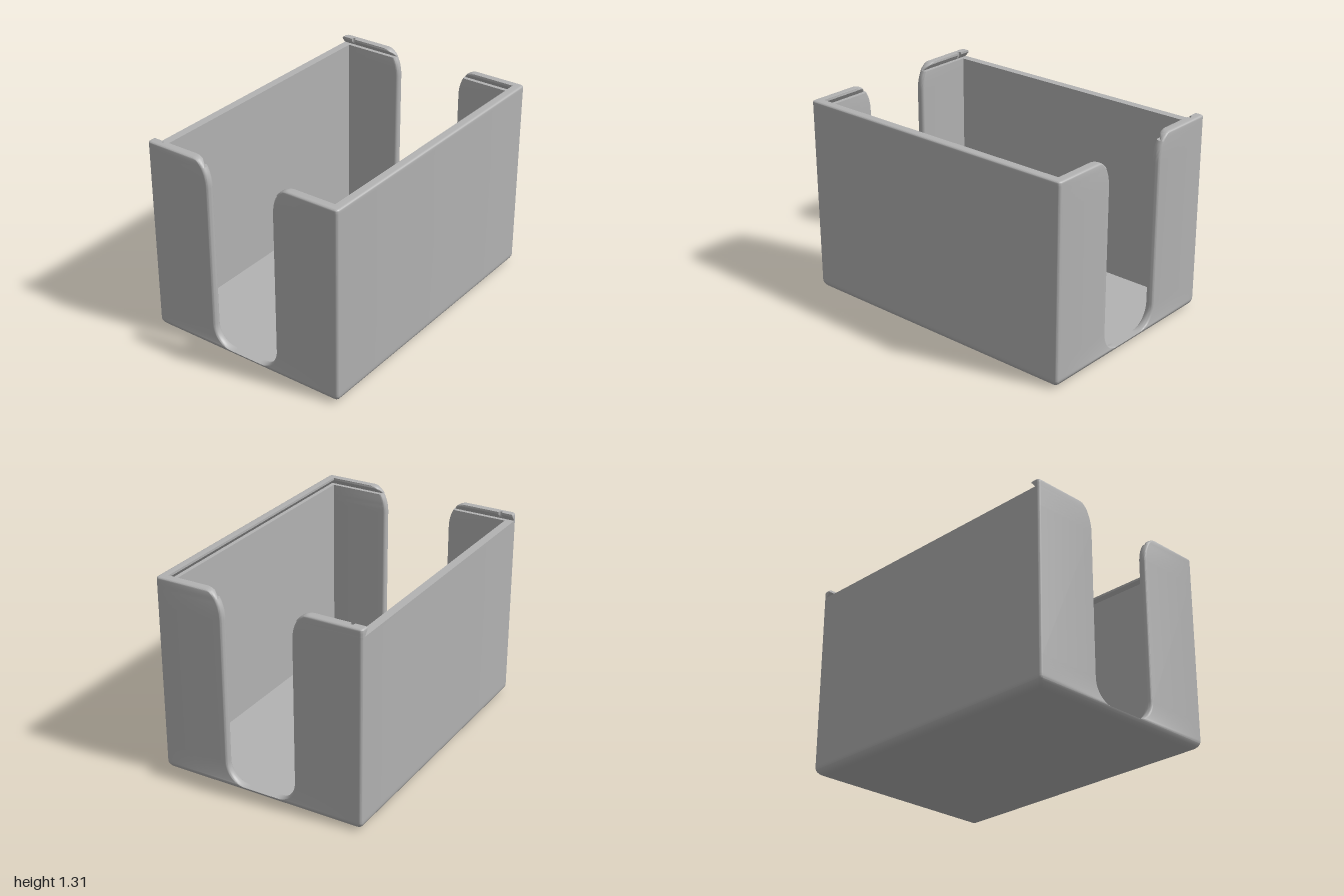
import * as THREE from 'three';
import { toCreasedNormals } from 'three/addons/utils/BufferGeometryUtils.js';

const HX = 1, HZ = 0.7, TOP = 1.31, FLOOR = 0.037, LEDGE = 1.26, WALL = 0.055;
const SLOT = 0.235, CORNER = 0.02, LIP = 1.295;

// inset of the outer face: large fillet at the base, small one at the rim
function inset(y) {
  const low = 0.055, rim = 0.012;
  if (y < low) return low - Math.sqrt(low * low - (low - y) ** 2);
  const d = Math.max(0, y - (TOP - rim));
  return rim - Math.sqrt(Math.max(0, rim * rim - d * d));
}

// half width of the side opening: round bottom, straight sides, flared top
function slot(y) {
  const arc = (t) => 1 - Math.sqrt(Math.max(0, 1 - t * t));
  if (y < 0.182) return SLOT - 0.135 * arc((0.182 - y) / 0.145);
  if (y > 1.13) return SLOT + 0.11 * arc((y - 1.13) / 0.18);
  return SLOT;
}

// wall thickness: the undercut lid groove narrows it just above the ledge
const thickness = (y, groove) =>
  groove && y < LIP ? 0.027 + (0.028 * (y - LEDGE)) / (LIP - LEDGE) : WALL;

const steps = (n, f) => Array.from({ length: n + 1 }, (_, k) => f(k / n));
const mirrorX = (pts) => pts.map(([x, z]) => [-x, z]).reverse();
const mirrorZ = (pts) => pts.map(([x, z]) => [x, -z]).reverse();

// rounded vertical corner, from the side face to the front face
function corner(y) {
  const i = inset(y);
  return steps(5, (t) => [
    HX - i - CORNER + CORNER * Math.cos((t * Math.PI) / 2),
    HZ - i - CORNER + CORNER * Math.sin((t * Math.PI) / 2),
  ]);
}

// rounded wall end beside the opening, from the inner face to the outer face
function slotEnd(y, xi) {
  const xo = HX - inset(y), mid = (xi + xo) / 2, half = (xo - xi) / 2;
  return steps(10, (t) => [
    mid - half * Math.cos(t * Math.PI),
    slot(y) + 0.02 * (1 - Math.sin(t * Math.PI)),
  ]);
}

function floorSection(y) {
  const c = corner(y), half = [...c, ...mirrorX(c)];
  return [...half, ...mirrorZ(half)];
}

// C-shaped wall section: long wall with both of its returns
function wallSection(y, groove) {
  const t = thickness(y, groove), xi = HX - t;
  const half = [[xi, HZ - t], ...slotEnd(y, xi), ...corner(y)];
  return [...half, ...mirrorX(half)];
}

// lid rail at the open end, with a small detent notch
function railSection(y) {
  const xi = HX - thickness(y, true);
  const notch = steps(8, (t) => {
    const a = (0.5 - t) * Math.PI;
    return [Math.max(xi, 0.953 + 0.012 * Math.cos(a)), 0.61 + 0.012 * Math.sin(a)];
  });
  return [...slotEnd(y, xi), ...corner(y), [xi, HZ - inset(y)], [xi, 0.6221], ...notch, [xi, 0.5979]];
}

// skin between stacked sections, capped at the top and optionally the bottom
function loft(levels, sections, capBottom = false) {
  const pos = [];
  let rings = sections.map((s) => s.map(([x, z]) => new THREE.Vector2(x, z)));
  if (THREE.ShapeUtils.area(rings[0]) < 0) rings = rings.map((r) => r.reverse());
  const put = (k, j) => pos.push(rings[k][j].x, levels[k], rings[k][j].y);
  const n = rings[0].length;
  for (let k = 0; k < rings.length - 1; k++) {
    for (let j = 0; j < n; j++) {
      const m = (j + 1) % n;
      put(k, j); put(k + 1, j); put(k, m);
      put(k, m); put(k + 1, j); put(k + 1, m);
    }
  }
  const cap = (k, up) => {
    for (const [a, b, c] of THREE.ShapeUtils.triangulateShape(rings[k], [])) {
      const ccw = THREE.ShapeUtils.area([rings[k][a], rings[k][b], rings[k][c]]) > 0;
      for (const v of ccw === up ? [a, c, b] : [a, b, c]) put(k, v);
    }
  };
  cap(rings.length - 1, true);
  if (capBottom) cap(0, false);
  const g = new THREE.BufferGeometry();
  g.setAttribute('position', new THREE.Float32BufferAttribute(pos, 3));
  return toCreasedNormals(g, 0.6);
}

export function createModel() {
  const model = new THREE.Group();
  model.name = 'cardBox';
  const grey = new THREE.MeshStandardMaterial({ color: 0xb2b2b2 });
  grey.name = 'grey plastic';
  const add = (name, geometry) => {
    const mesh = new THREE.Mesh(geometry, grey);
    mesh.name = name;
    model.add(mesh);
    return mesh;
  };

  // floor slab with its filleted underside
  const base = steps(6, (t) => FLOOR * t * t);
  add('floor', loft(base, base.map(floorSection), true));

  // heights of the wall sections, below and above the lid ledge
  const lower = [
    ...steps(14, (t) => FLOOR + 0.145 * (1 - Math.cos((t * Math.PI) / 2))),
    ...steps(6, (t) => 1.13 + (LEDGE - 1.13) * t),
  ];
  const upper = [LEDGE, 1.27, 1.282, LIP, 1.3, 1.304, 1.307, 1.309, TOP];

  // full-height front wall with the lid groove under its rim
  add('frontWall', loft([...lower, ...upper], [
    ...lower.map((y) => wallSection(y, false)),
    ...upper.map((y) => wallSection(y, true)),
  ]));

  // back wall stops at the ledge so a lid can slide in
  const back = add('backWall', loft(lower, lower.map((y) => wallSection(y, false))));
  back.rotation.y = Math.PI;

  // rails above the ledge on both sides of the back
  const rails = upper.map(railSection);
  add('rightLidRail', loft(upper, rails)).rotation.y = Math.PI;
  add('leftLidRail', loft(upper, rails.map(mirrorX))).rotation.y = Math.PI;

  return model;
}
